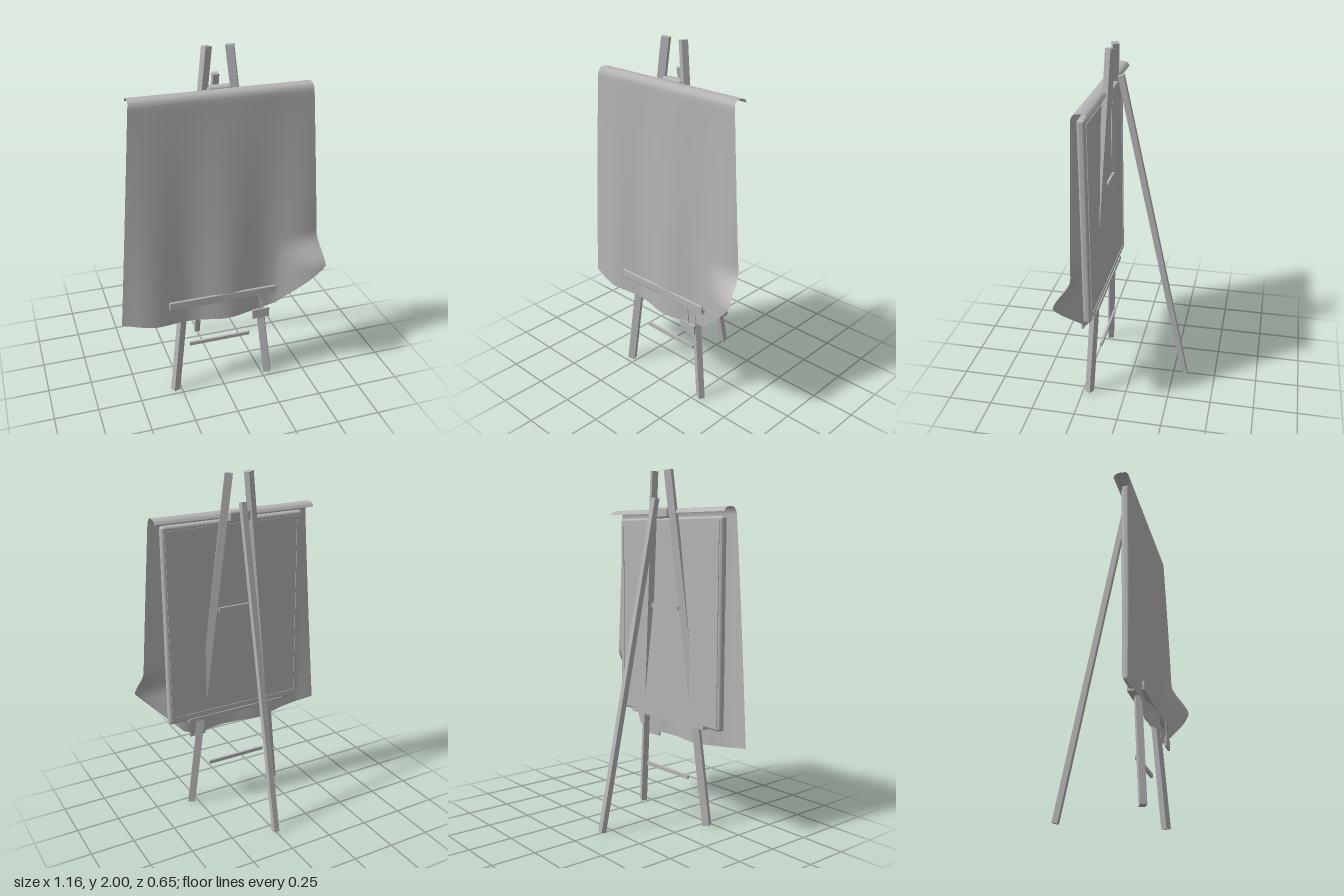
import * as THREE from 'three';
import { RoundedBoxGeometry } from 'three/addons/geometries/RoundedBoxGeometry.js';

const grey = new THREE.MeshStandardMaterial({ color: 0xb4b4b4 });
grey.name = 'plain grey';
const clothGrey = new THREE.MeshStandardMaterial({ color: 0xb4b4b4, side: THREE.DoubleSide });
clothGrey.name = 'cloth grey';

const V = (x, y, z) => new THREE.Vector3(x, y, z);
const smooth = THREE.MathUtils.smoothstep;

function add(group, name, geometry, material = grey) {
  const mesh = new THREE.Mesh(geometry, material);
  mesh.name = name;
  group.add(mesh);
  return mesh;
}

// Box given by its minimum and maximum corners, optionally rounded
function block(group, name, [x0, y0, z0], [x1, y1, z1], radius = 0) {
  const size = [x1 - x0, y1 - y0, z1 - z0];
  const geometry = radius ? new RoundedBoxGeometry(...size, 3, radius) : new THREE.BoxGeometry(...size);
  add(group, name, geometry).position.set((x0 + x1) / 2, (y0 + y1) / 2, (z0 + z1) / 2);
}

// Straight square-cut beam from a to b, turned about its own length
function beam(group, name, a, b, width, depth, turn = 0) {
  const dir = b.clone().sub(a);
  const mesh = add(group, name, new THREE.BoxGeometry(width, dir.length(), depth));
  const up = dir.clone().normalize();
  const side = V(Math.cos(turn), 0, Math.sin(turn));
  side.addScaledVector(up, -side.dot(up)).normalize();
  const front = side.clone().cross(up);
  mesh.quaternion.setFromRotationMatrix(new THREE.Matrix4().makeBasis(side, up, front));
  mesh.position.copy(a).add(b).multiplyScalar(0.5);
}

// Height of the hanging cloth's lower hem, from right side (u = -1) to left (u = 1)
function hem(u) {
  const points = [[-1, 0.515], [-0.7, 0.482], [-0.35, 0.465], [0, 0.46], [0.4, 0.465], [0.55, 0.49], [1, 0.75]];
  let i = 0;
  while (i < points.length - 2 && u > points[i + 1][0]) i++;
  const [[ua, ya], [ub, yb]] = [points[i], points[i + 1]];
  return ya + (yb - ya) * (u - ua) / (ub - ua);
}

// Cloth: a lip folded over the top, then a rippled drape with one lifted corner
function clothGeometry() {
  const lip = [[0.12, 1.762], [0.127, 1.776], [0.14, 1.784], [0.165, 1.788], [0.19, 1.784], [0.203, 1.77]];
  const cols = 80, drop = 50, rows = lip.length + drop;
  const positions = [], index = [];
  for (let r = 0; r <= rows; r++) {
    for (let c = 0; c <= cols; c++) {
      const u = (c / cols) * 2 - 1;
      if (r < lip.length) {
        positions.push(u * 0.485, lip[r][1], lip[r][0]);
        continue;
      }
      const t = (r - lip.length) / drop;
      const y = THREE.MathUtils.lerp(1.75, hem(u), t);
      const down = (1.79 - y) / 1.275;
      let x = u * (0.485 + 0.095 * down);
      const ripple = 0.016 * (1 + Math.cos((x - 0.03) * Math.PI * 2 / 0.44));
      const lift = smooth(x, 0.3, 0.57) * (1 - smooth(y, 0.74, 0.92));
      const z = 0.206 + ripple * down * (1 - 0.6 * lift) + 0.105 * lift;
      x += 0.013 * lift;
      positions.push(x, y, z);
    }
  }
  for (let r = 0; r < rows; r++) {
    for (let c = 0; c < cols; c++) {
      const a = r * (cols + 1) + c, b = a + cols + 1;
      index.push(a, b, a + 1, a + 1, b, b + 1);
    }
  }
  const geometry = new THREE.BufferGeometry();
  geometry.setAttribute('position', new THREE.Float32BufferAttribute(positions, 3));
  geometry.setIndex(index);
  geometry.computeVertexNormals();
  return geometry;
}

export function createModel() {
  const easel = new THREE.Group();
  easel.name = 'easel';

  // Legs
  for (const s of [-1, 1]) {
    beam(easel, s > 0 ? 'frontLegLeft' : 'frontLegRight',
      V(s * 0.287, 0.004, 0.211), V(s * 0.06, 1.996, 0.107), 0.042, 0.034, s * 0.43);
  }
  beam(easel, 'rearLeg', V(0, 0.004, -0.317), V(0, 1.843, 0.065), 0.032, 0.032);

  // Head block and cross bars
  block(easel, 'headBlock', [-0.065, 1.735, 0.09], [0.065, 1.795, 0.14], 0.012);
  block(easel, 'upperCrossBar', [-0.115, 1.225, 0.132], [0.115, 1.25, 0.145]);
  block(easel, 'lowerCrossBar', [-0.183, 0.261, 0.153], [0.183, 0.281, 0.167]);

  // Board with a raised rim on its back
  block(easel, 'board', [-0.435, 0.585, 0.151], [0.435, 1.74, 0.195], 0.016);
  for (const s of [-1, 1]) {
    block(easel, 'sideRim', [s * 0.408 - 0.01, 0.61, 0.147], [s * 0.408 + 0.01, 1.715, 0.16]);
    const y = 1.1625 + s * 0.5425;
    block(easel, 'endRim', [-0.398, y - 0.01, 0.147], [0.398, y + 0.01, 0.16]);
  }

  // Ledge under the board with a front lip
  block(easel, 'ledge', [-0.315, 0.575, 0.145], [0.315, 0.597, 0.23]);
  block(easel, 'ledgeLip', [-0.315, 0.573, 0.222], [0.315, 0.622, 0.237], 0.005);

  // Cloth over the board
  add(easel, 'cloth', clothGeometry(), clothGrey);

  // Small tag hanging from the ledge
  beam(easel, 'tagString', V(0.223, 0.48, 0.243), V(0.208, 0.58, 0.238), 0.008, 0.006);
  block(easel, 'tag', [0.17, 0.43, 0.238], [0.27, 0.487, 0.25]);

  return easel;
}
